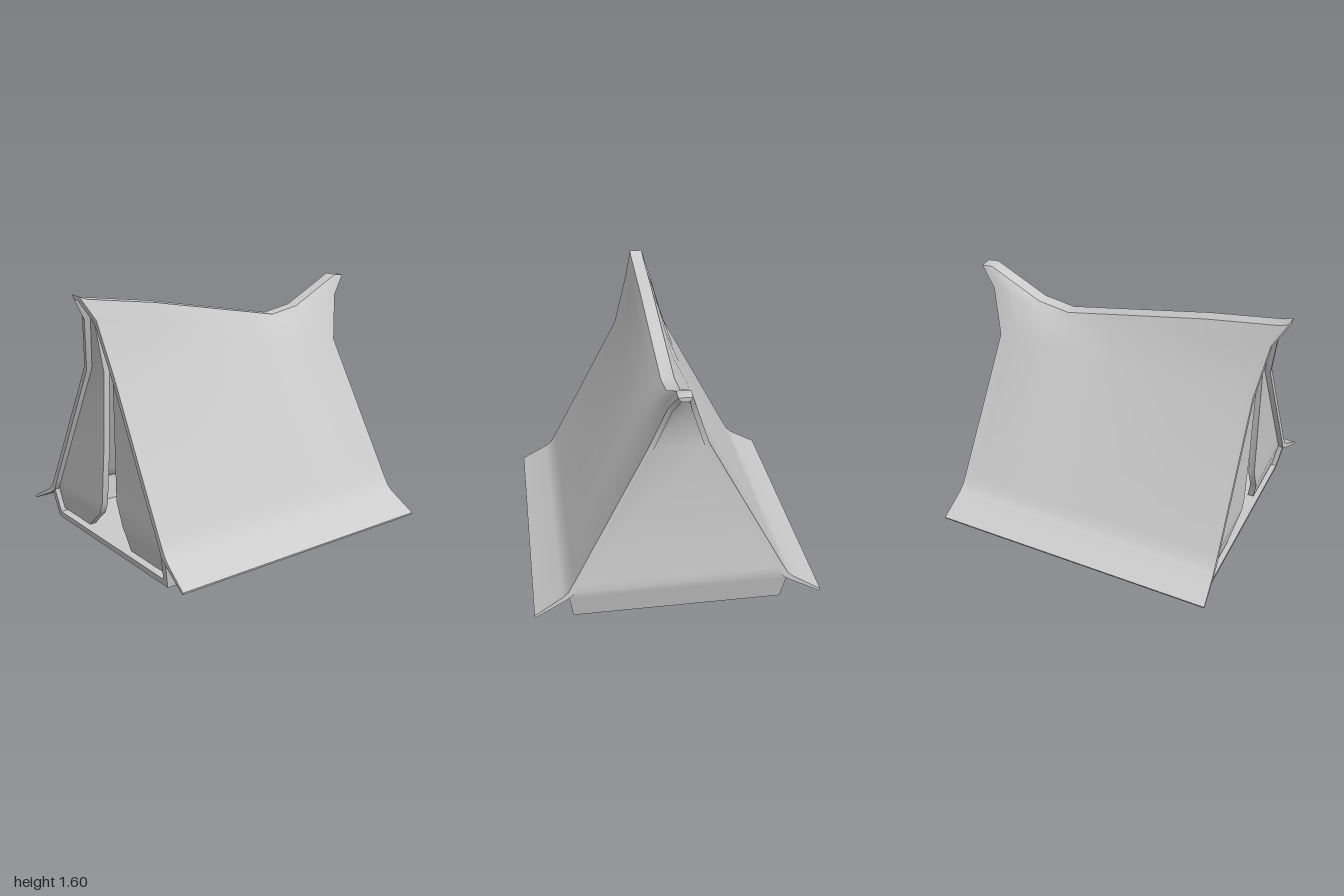
import * as THREE from 'three';
import { toCreasedNormals } from 'three/addons/utils/BufferGeometryUtils.js';

const material = new THREE.MeshStandardMaterial({ color: 0xcccccc, side: THREE.DoubleSide });
const lerp = THREE.MathUtils.lerp;

// Piecewise linear lookup in a list of [key, value]
function lookup(table, k) {
  if (k <= table[0][0]) return table[0][1];
  for (let i = 1; i < table.length; i++) {
    const [k0, v0] = table[i - 1], [k1, v1] = table[i];
    if (k <= k1) return lerp(v0, v1, (k - k0) / (k1 - k0));
  }
  return table[table.length - 1][1];
}

// Closed solid through rings of points; each ring is a band that goes out and comes back
function loft(name, rings, crease = 0.62) {
  const n = rings[0].length, index = [];
  const quad = (a, b, c, d) => index.push(a, b, c, a, c, d);
  for (let k = 0; k < rings.length - 1; k++) {
    for (let i = 0; i < n; i++) {
      const j = (i + 1) % n;
      quad(k * n + i, k * n + j, (k + 1) * n + j, (k + 1) * n + i);
    }
  }
  const last = (rings.length - 1) * n;
  for (let i = 0; i < n / 2 - 1; i++) {
    quad(n - 1 - i, n - 2 - i, i + 1, i);
    quad(last + i, last + i + 1, last + n - 2 - i, last + n - 1 - i);
  }
  const geometry = new THREE.BufferGeometry();
  geometry.setAttribute('position', new THREE.Float32BufferAttribute(rings.flat(2), 3));
  geometry.setIndex(index);
  const mesh = new THREE.Mesh(toCreasedNormals(geometry, crease), material);
  mesh.name = name;
  return mesh;
}

// Depth of the front and back ends by height
const frontZ = [[0, 0.84], [0.2, 0.875], [1.13, 0.87], [1.45, 0.92], [1.59, 1]];
const backZ = [[0, -0.84], [0.2, -0.89], [1.11, -0.82], [1.42, -0.9], [1.5, -1]];
// Inner half width of the canopy by height
const innerX = [[0, 0.59], [0.06, 0.6], [0.2, 0.625], [0.255, 0.6], [1.12, 0.15], [1.45, 0.05], [1.55, 0.02]];
// Sagging ridge line
const ridge = [[-1, 1.5], [-0.93, 1.507], [-0.6, 1.34], [-0.4, 1.31], [0.5, 1.5], [0.95, 1.575], [1, 1.595]];

// Upright cloth panel made of rows [height, left edge, right edge]
function panel(name, rows, zOf, thickness) {
  return loft(name, rows.map(([y, a, b]) => {
    const z = zOf(y);
    return [[a, y, z], [b, y, z], [b, y, z - thickness], [a, y, z - thickness]];
  }));
}

function canopy() {
  const stations = [-1, -0.93, -0.85, -0.72, -0.6, -0.5, -0.4, -0.1, 0.2, 0.5, 0.75, 0.95, 1];
  const rings = stations.map((s) => {
    const t = (s + 1) / 2, top = lookup(ridge, s);
    const shoulder = lerp(1.11, 1.13, t), mid = lerp(shoulder, top, 0.7);
    // rows: outer x, outer y, inner x, inner y, back z, front z
    const rows = [
      [0.86, 0.082, 0.855, 0.068, -0.91, 0.893],
      [0.69, 0.183, 0.68, 0.155, -0.893, 0.877],
      [0.655, 0.215, 0.625, 0.19, -0.89, 0.873],
      [0.62, 0.275, 0.59, 0.26, -0.885, 0.873],
      [0.17, shoulder, 0.145, shoulder - 0.02, -0.82, 0.868],
      [0.08, mid, 0.055, mid - 0.02, -0.9, 0.92],
      [0.04, top, 0.022, top - 0.025, -1, 1],
    ];
    const outer = rows.map((r) => [r[0], r[1], lerp(r[4], r[5], t)]);
    const inner = rows.map((r) => [r[2], r[3], lerp(r[4], r[5], t)]);
    const mirror = ([x, y, z]) => [-x, y, z];
    return [
      ...outer, ...outer.map(mirror).reverse(),
      ...inner.map(mirror), ...inner.slice().reverse(),
    ];
  });
  return loft('canopy', rings);
}

// Floor tray with raised, slanted sides and an open front
function groundTray() {
  const section = [
    [-0.657, 0.19], [-0.63, 0], [0.63, 0], [0.657, 0.19],
    [0.615, 0.2], [0.597, 0.042], [-0.597, 0.042], [-0.615, 0.2],
  ];
  return loft('groundTray', [
    section.map(([x, y]) => [x, y, lookup(backZ, y) + 0.02]),
    section.map(([x, y]) => [x, y, lookup(frontZ, y) - 0.003]),
  ], 0.4);
}

export function createModel() {
  const group = new THREE.Group();
  group.name = 'tent';
  group.add(canopy(), groundTray());

  // Closed back wall, flush with the tray at the bottom
  const wallRows = [[0, 0.63], [0.16, 0.652], [0.2, 0.64], [0.255, 0.605], [1.1, 0.16], [1.41, 0.065], [1.46, 0.03]];
  group.add(panel('backWall', wallRows.map(([y, x]) => [y, -x, x]), (y) => lookup(backZ, y) + 0.03, 0.025));

  // Front door flaps, slightly recessed, with a curved gap between them
  const flapZ = (y) => lookup(frontZ, y) - 0.035;
  const rightEdge = [[0.06, -0.27], [0.12, -0.2], [0.2, -0.1], [0.27, -0.07], [0.63, -0.03], [1.13, -0.003], [1.45, -0.012], [1.5, 0]];
  const leftEdge = [[0.06, 0.21], [0.17, 0.18], [0.2, 0.165], [0.35, 0.1], [1.13, 0.095], [1.45, 0.012], [1.5, 0]];
  group.add(panel('rightDoorFlap', rightEdge.map(([y, x]) => [y, -lookup(innerX, y), x]), flapZ, 0.04));
  group.add(panel('leftDoorFlap', leftEdge.map(([y, x]) => [y, x, lookup(innerX, y)]), flapZ, 0.04));
  return group;
}
